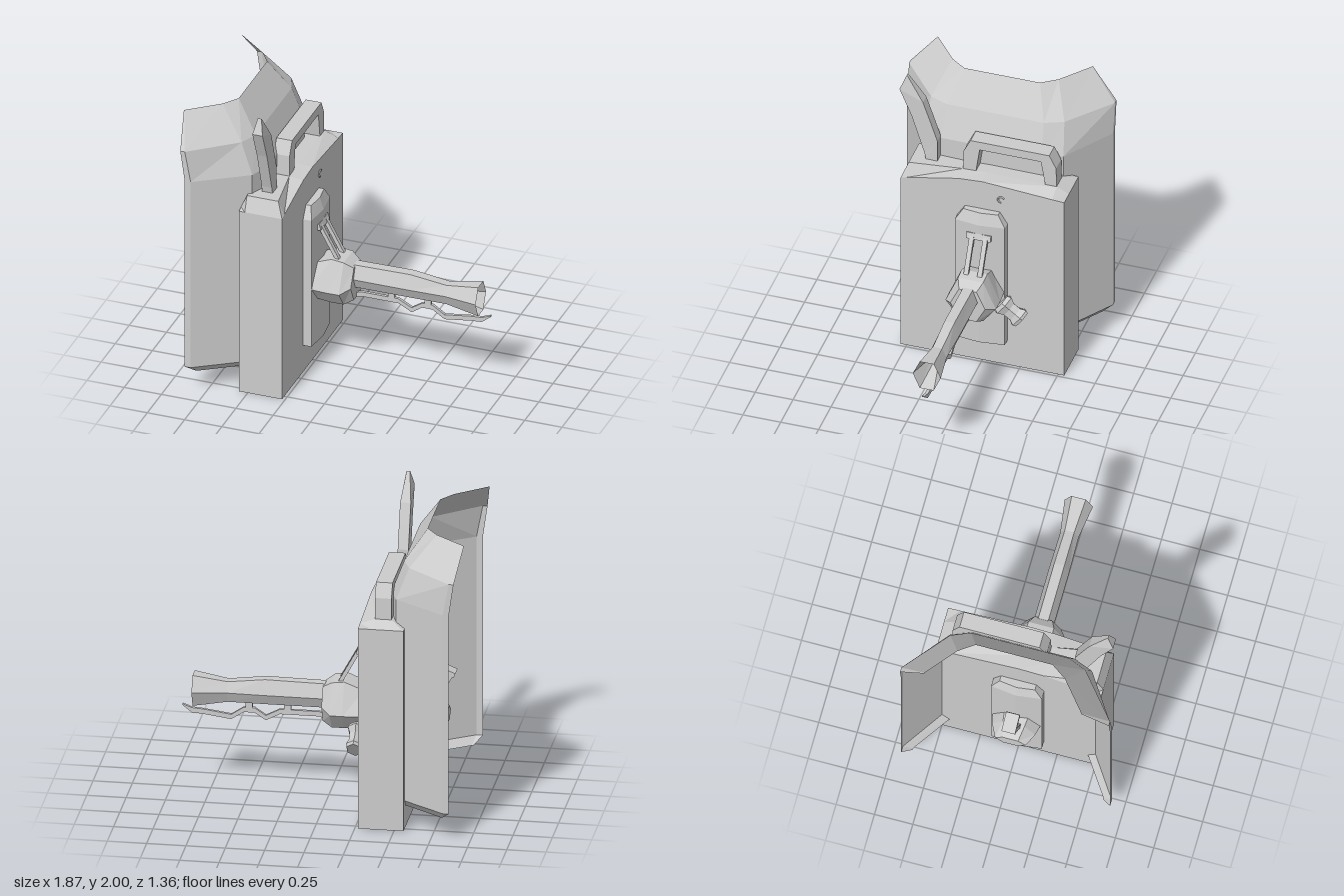
import * as THREE from 'three';

const grey = new THREE.MeshStandardMaterial({ color: 0xcccccc, flatShading: true, side: THREE.DoubleSide });
grey.name = 'plain grey';

export function createModel() {
  const model = new THREE.Group();

  const add = (name, geometry, parent = model) => {
    const mesh = new THREE.Mesh(geometry, grey);
    mesh.name = name;
    parent.add(mesh);
    return mesh;
  };

  // Skin a row of equal-length [x, y, z] sections; closed sections may be capped
  function loft(rings, { closed = true, caps = true } = {}) {
    const tris = [];
    const n = rings[0].length;
    for (let i = 0; i < rings.length - 1; i++) {
      for (let j = 0; j < (closed ? n : n - 1); j++) {
        const k = (j + 1) % n;
        const [a, b, c, d] = [rings[i][j], rings[i][k], rings[i + 1][k], rings[i + 1][j]];
        tris.push([a, b, c], [a, c, d]);
      }
    }
    if (closed && caps) {
      const first = rings[0], last = rings[rings.length - 1];
      for (let j = 1; j < n - 1; j++) {
        tris.push([first[0], first[j + 1], first[j]], [last[0], last[j], last[j + 1]]);
      }
    }
    // Turn the skin outward if its signed volume is negative
    let volume = 0;
    for (const [a, b, c] of tris) {
      volume += new THREE.Vector3(...a).dot(new THREE.Vector3(...b).cross(new THREE.Vector3(...c)));
    }
    if (closed && volume < 0) tris.forEach((t) => t.reverse());
    const g = new THREE.BufferGeometry();
    g.setAttribute('position', new THREE.Float32BufferAttribute(tris.flat(2), 3));
    g.computeVertexNormals();
    return g;
  }

  // Extrude a side outline of [z, y] points between x0 and x1
  function sideExtrude(points, x0, x1, hole) {
    const toVec = ([z, y]) => new THREE.Vector2(z, y);
    const shape = new THREE.Shape(points.map(toVec));
    if (hole) shape.holes.push(new THREE.Path(hole.map(toVec)));
    const g = new THREE.ExtrudeGeometry(shape, { depth: x1 - x0, bevelEnabled: false });
    return g.rotateY(-Math.PI / 2).translate(x1, 0, 0);
  }

  // Straight square bar between two points
  function bar(a, b, w, d) {
    const p = new THREE.Vector3(...a), q = new THREE.Vector3(...b);
    const dir = q.clone().sub(p);
    const g = new THREE.BoxGeometry(w, dir.length(), d);
    g.applyQuaternion(new THREE.Quaternion().setFromUnitVectors(new THREE.Vector3(0, 1, 0), dir.normalize()));
    const mid = p.add(q).multiplyScalar(0.5);
    return g.translate(mid.x, mid.y, mid.z);
  }

  // Six-sided section across x with corners pointing to +z and -z
  const hex = (x, top, mid, bottom, rz) => [
    [x, mid, rz], [x, top, rz / 2], [x, top, -rz / 2],
    [x, mid, -rz], [x, bottom, -rz / 2], [x, bottom, rz / 2],
  ];

  // Tank body with a sloping shoulder: z, edge height, ridge height, ridge x range
  const bodyRows = [
    [0.54, 1.30, 1.30, -0.52, -0.31],
    [0.50, 1.31, 1.40, -0.52, -0.31],
    [0.16, 1.38, 1.39, -0.47, -0.365],
    [0.00, 1.39, 1.395, -0.47, -0.365],
    [-0.46, 1.355, 1.39, -0.47, -0.365],
    [-0.54, 1.35, 1.35, -0.47, -0.365],
  ];
  add('tankBody', loft(bodyRows.map(([z, edge, ridge, x0, x1]) => [
    [-0.56, 0, z], [-0.27, 0, z], [-0.27, edge, z], [x1, ridge, z], [x0, ridge, z], [-0.56, edge, z],
  ])));

  // Carrying handle
  add('carryHandle', sideExtrude(
    [[0.16, 1.36], [0.155, 1.53], [0.11, 1.62], [-0.41, 1.62], [-0.455, 1.53], [-0.46, 1.36]],
    -0.47, -0.365,
    [[0.075, 1.38], [0.05, 1.56], [-0.355, 1.56], [-0.385, 1.38]],
  ));

  // Curved horn: z and y of front edge, z and y of rear edge, half width
  const hornRows = [
    [0.41, 1.39, 0.335, 1.39, 0.036],
    [0.42, 1.44, 0.335, 1.55, 0.034],
    [0.505, 1.71, 0.385, 1.70, 0.034],
    [0.585, 1.90, 0.43, 1.83, 0.034],
    [0.545, 2.0, 0.535, 1.99, 0.012],
  ];
  add('horn', loft(hornRows.map(([z0, y0, z1, y1, w]) => [
    [-0.418 - w, y0, z0], [-0.418 + w, y0, z0], [-0.418 + w, y1, z1], [-0.418 - w, y1, z1],
  ])));

  // Wrapping back shell: half sections from the tip to the centre
  const shellRows = [
    [0.14, [[-0.82, 0.62], [-0.81, 0.62], [-0.53, 0.43], [-0.50, 0.31]]],
    [0.19, [[-0.87, 0.68], [-0.83, 0.68], [-0.50, 0.46], [-0.45, 0.33]]],
    [1.53, [[-0.87, 0.68], [-0.83, 0.68], [-0.50, 0.46], [-0.45, 0.33]]],
    [1.74, [[-0.90, 0.68], [-0.87, 0.68], [-0.58, 0.44], [-0.53, 0.32]]],
    [1.94, [[-0.94, 0.51], [-0.935, 0.51], [-0.74, 0.35], [-0.67, 0.25]]],
  ];
  add('backShell', loft(shellRows.map(([y, half]) => [
    ...half.map(([x, z]) => [x, y, z]),
    ...half.map(([x, z]) => [x, y, -z]).reverse(),
  ]), { closed: false }));

  // Ridged mounting panel on both broad faces of the tank
  const panelRow = (y, ridge, side, z) => [
    [-0.28, y, -z], [-0.28, y, z], [side, y, z], [ridge, y, 0], [side, y, -z],
  ];
  const panel = () => loft([
    panelRow(0.19, -0.195, -0.215, 0.165), panelRow(1.10, -0.195, -0.215, 0.165),
    panelRow(1.18, -0.22, -0.235, 0.115),
  ]);
  add('sidePanel', panel());
  add('rearPanel', panel().rotateY(Math.PI).translate(-0.83, 0, 0));

  // Sprayer gun: bulb, flared hollow barrel
  const gun = new THREE.Group();
  gun.name = 'sprayerGun';
  model.add(gun);
  add('gunBulb', loft([
    hex(-0.27, 0.70, 0.60, 0.57, 0.12), hex(-0.235, 0.75, 0.60, 0.50, 0.16),
    hex(-0.11, 0.80, 0.60, 0.49, 0.168), hex(-0.03, 0.79, 0.60, 0.49, 0.166),
    hex(0.03, 0.75, 0.63, 0.52, 0.115),
  ]), gun);
  add('gunBarrel', loft([
    hex(0.02, 0.76, 0.67, 0.60, 0.065), hex(0.40, 0.765, 0.67, 0.60, 0.065),
    hex(0.64, 0.735, 0.67, 0.60, 0.06), hex(0.86, 0.77, 0.67, 0.565, 0.092),
    hex(0.66, 0.70, 0.67, 0.64, 0.032),
  ]), gun);

  // Crooked rod under the barrel, with two hangers
  const path = [[-0.01, 0.52], [0.06, 0.545], [0.31, 0.545], [0.40, 0.498], [0.47, 0.545],
    [0.54, 0.545], [0.62, 0.492], [0.80, 0.517], [0.87, 0.522], [0.93, 0.557]];
  const edge = (s) => path.map(([x, y], i) => new THREE.Vector2(x, y + s * (i === 9 ? 0.004 : 0.016)));
  add('underRod', new THREE.ExtrudeGeometry(
    new THREE.Shape([...edge(-1), ...edge(1).reverse()]), { depth: 0.02, bevelEnabled: false },
  ).translate(0, 0, -0.01), gun);
  for (const x of [0.262, 0.508]) {
    add('rodHanger', new THREE.BoxGeometry(0.045, 0.08, 0.02).translate(x, 0.585, 0), gun);
  }

  // Forked brace from the bulb up to the panel
  for (const s of [-1, 1]) {
    add('braceLeg', bar([-0.08, 0.79, s * 0.045], [-0.2, 1.01, s * 0.045], 0.025, 0.03), gun);
  }
  add('braceTop', bar([-0.195, 0.99, 0], [-0.207, 1.03, 0], 0.025, 0.16), gun);

  // Waisted canister slung diagonally from the bulb
  const profile = [[0, -0.085], [0.07, -0.085], [0.085, -0.06], [0.06, -0.02],
    [0.06, 0.03], [0.08, 0.065], [0.07, 0.085], [0, 0.085]];
  const canister = add('canister', new THREE.LatheGeometry(
    profile.map(([r, y]) => new THREE.Vector2(r, y)), 6,
  ).scale(0.75, 1, 1), gun);
  canister.quaternion.setFromUnitVectors(new THREE.Vector3(0, 1, 0), new THREE.Vector3(0, -0.6, -0.8).normalize());
  canister.position.set(-0.205, 0.475, -0.21);

  // Rear wedge knob and its small loop
  add('rearKnob', loft([
    hex(-0.60, 0.72, 0.60, 0.50, 0.16), hex(-0.68, 0.70, 0.60, 0.52, 0.14),
    hex(-0.76, 0.63, 0.59, 0.54, 0.10),
  ]));
  for (const s of [-1, 1]) {
    add('rearLoopLeg', bar([-0.67, 0.67, s * 0.032], [-0.785, 0.88, s * 0.032], 0.03, 0.024));
  }
  add('rearLoopTop', bar([-0.69, 0.92, 0], [-0.805, 0.87, 0], 0.03, 0.088));

  // Small hook near the top edge of the tank
  add('hook', new THREE.TorusGeometry(0.022, 0.006, 4, 6, Math.PI * 1.3)
    .rotateY(Math.PI / 2).rotateX(0.6).translate(-0.265, 1.28, -0.125));

  return model;
}
